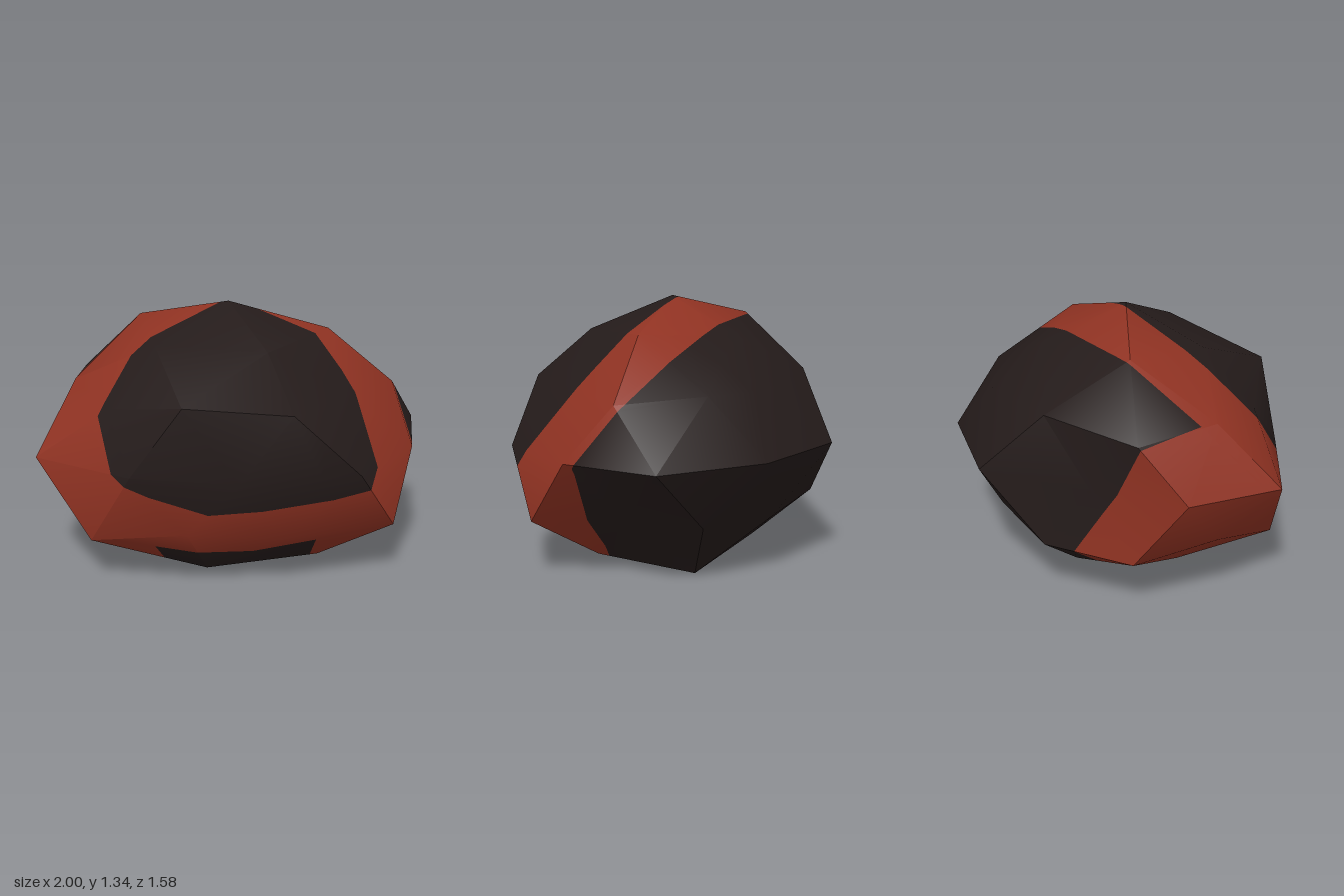
import * as THREE from 'three';
import { ConvexGeometry } from 'three/addons/geometries/ConvexGeometry.js';
import { toCreasedNormals } from 'three/addons/utils/BufferGeometryUtils.js';

// Corners of the boulder, ring by ring from the top down
const crown = [
  [-0.02, 1.34, 0.07],
  [0.49, 1.19, 0.07], [0.14, 1.17, 0.46], [-0.4, 1.17, 0.28],
  [-0.46, 1.22, -0.2], [0.14, 1.16, -0.32],
];
const shoulder = [
  [0.83, 0.9, 0.07], [0.55, 0.935, 0.4], [0.24, 0.93, 0.72], [-0.29, 0.99, 0.75],
  [-0.635, 0.894, 0.427], [-0.8, 0.95, 0.07], [-0.75, 0.91, -0.35],
  [-0.27, 0.955, -0.57], [0.26, 0.92, -0.56], [0.62, 0.93, -0.325],
];
const waist = [
  [0.9, 0.3], [1, -0.2], [0.58, -0.61], [0, -0.79], [-0.51, -0.46],
  [-0.91, -0.17], [-1, 0.32], [-0.54, 0.66], [-0.02, 0.79], [0.57, 0.72],
].map(([x, z]) => [x, 0.62, z]);
const belly = [
  [0.66, 0.31, 0.07], [0.77, 0.29, 0.53], [0.22, 0.28, 0.65], [-0.27, 0.33, 0.69],
  [-0.735, 0.235, 0.485], [-0.84, 0.35, 0.07], [-0.71, 0.27, -0.345],
  [-0.32, 0.29, -0.61], [0.225, 0.27, -0.54], [0.64, 0.29, -0.31],
];
const foot = [
  [0.42, 0.05, 0.32], [0.43, 0, -0.2], [-0.17, 0.06, -0.33],
  [-0.5, 0.09, 0.07], [-0.16, 0.06, 0.47], [-0.02, 0.045, 0.07],
];

// Planes that bound the rust band and its two lower corners
const tilt = (p) => 0.79 * p[2] + 0.612 * p[1];
const cuts = {
  rear: (p) => tilt(p) - 0.57,
  front: (p) => tilt(p) - 0.85,
  leftWedge: (p) => -0.31 - 0.5 * p[1] - p[0],
  wedgeZ: (p) => p[2] - 0.26,
  wedgeX: (p) => p[0] - 0.38,
  wedgeY: (p) => 0.621 - p[1],
};

function isRust(p) {
  if (cuts.front(p) > 0) return false;
  if (cuts.rear(p) > 0 || cuts.leftWedge(p) > 0) return true;
  return cuts.wedgeZ(p) > 0 && cuts.wedgeX(p) > 0 && cuts.wedgeY(p) > 0;
}

// Join the corners as a faceted ball, then move each one out to its place
function buildStone() {
  const corners = [...crown, ...shoulder, ...waist, ...belly, ...foot].map((p) => new THREE.Vector3(...p));
  const centre = new THREE.Vector3(-0.02, 0.62, 0.07);
  const size = new THREE.Vector3(1, 0.72, 0.8);
  const dirs = corners.map((p) => p.clone().sub(centre).divide(size).normalize());
  const ball = new ConvexGeometry(dirs);
  const pos = ball.attributes.position, v = new THREE.Vector3();
  for (let i = 0; i < pos.count; i++) {
    v.fromBufferAttribute(pos, i);
    const k = dirs.findIndex((d) => d.distanceTo(v) < 1e-4);
    pos.setXYZ(i, ...corners[k].toArray());
  }
  return toCreasedNormals(ball, 0.65);
}

// Part of a polygon on one side of a cut; corners carry position and normal
function clip(poly, cut, sign) {
  const out = [];
  poly.forEach((a, i) => {
    const b = poly[(i + 1) % poly.length];
    const da = cut(a) * sign, db = cut(b) * sign;
    if (da >= 0) out.push(a);
    if ((da > 1e-6 && db < -1e-6) || (da < -1e-6 && db > 1e-6)) {
      const t = da / (da - db);
      out.push(a.map((c, k) => c + (b[k] - c) * t));
    }
  });
  return out;
}

function buildMesh(polys, material, name) {
  const pos = [], nor = [];
  for (const poly of polys) {
    for (let i = 1; i < poly.length - 1; i++) {
      for (const c of [poly[0], poly[i], poly[i + 1]]) {
        pos.push(c[0], c[1], c[2]);
        nor.push(c[3], c[4], c[5]);
      }
    }
  }
  const g = new THREE.BufferGeometry();
  g.setAttribute('position', new THREE.Float32BufferAttribute(pos, 3));
  g.setAttribute('normal', new THREE.Float32BufferAttribute(nor, 3));
  const mesh = new THREE.Mesh(g, material);
  mesh.name = name;
  return mesh;
}

export function createModel() {
  const darkStone = new THREE.MeshStandardMaterial({ color: 0x241b1a });
  darkStone.name = 'dark stone';
  const rust = new THREE.MeshStandardMaterial({ color: 0x8f3222 });
  rust.name = 'rust';

  const stone = buildStone();
  const P = stone.attributes.position, N = stone.attributes.normal;
  let polys = [];
  for (let i = 0; i < P.count; i += 3) {
    polys.push([i, i + 1, i + 2].map((k) => [
      P.getX(k), P.getY(k), P.getZ(k), N.getX(k), N.getY(k), N.getZ(k),
    ]));
  }

  // Cut the skin along the band edges and sort the pieces by colour
  for (const cut of Object.values(cuts)) {
    polys = polys.flatMap((p) => [clip(p, cut, 1), clip(p, cut, -1)]).filter((p) => p.length > 2);
  }
  const middle = (poly) => [0, 1, 2].map((k) => poly.reduce((s, c) => s + c[k], 0) / poly.length);
  const model = new THREE.Group();
  model.name = 'boulder';
  model.add(
    buildMesh(polys.filter((p) => !isRust(middle(p))), darkStone, 'stoneBody'),
    buildMesh(polys.filter((p) => isRust(middle(p))), rust, 'rustBand'),
  );
  return model;
}
